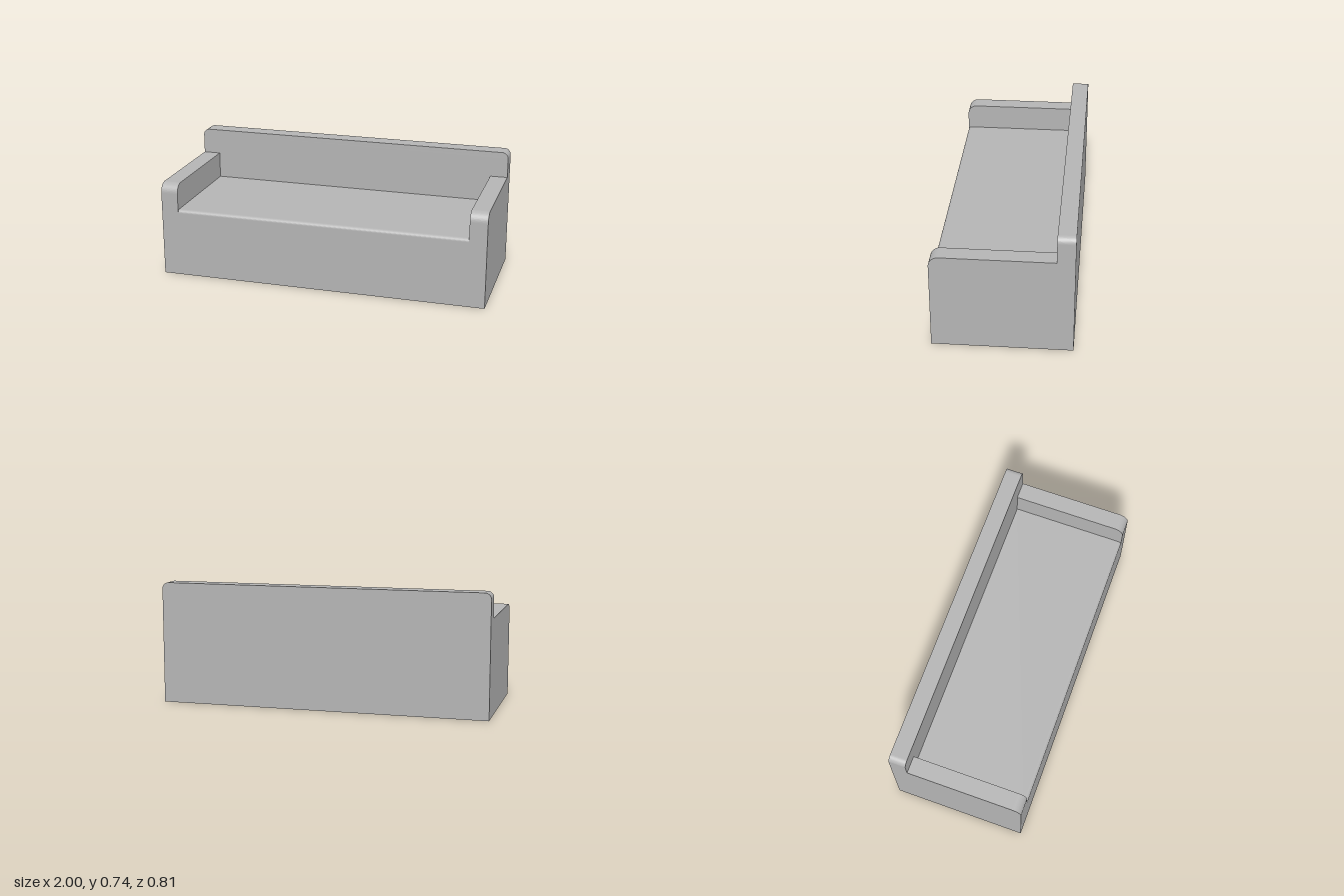
import * as THREE from 'three';

const HALF_DEPTH = 0.403;
const BACK_FRONT = -0.3; // z where the backrest meets the seat

// Side profile (drawn along -z) with a rounded front top edge, extruded along x.
function sideSlab(name, x0, x1, height, radius, material) {
  const f = -HALF_DEPTH, b = -BACK_FRONT;
  const s = new THREE.Shape();
  s.moveTo(f, 0);
  s.lineTo(b, 0);
  s.lineTo(b, height);
  s.lineTo(f + radius, height);
  s.absarc(f + radius, height - radius, radius, Math.PI / 2, Math.PI, false);
  s.closePath();
  const geo = new THREE.ExtrudeGeometry(s, { depth: x1 - x0, bevelEnabled: false, curveSegments: 6 });
  geo.rotateY(Math.PI / 2);
  geo.translate(x0, 0, 0);
  const mesh = new THREE.Mesh(geo, material);
  mesh.name = name;
  return mesh;
}

export function createModel() {
  const group = new THREE.Group();
  group.name = 'sofa';
  const grey = new THREE.MeshStandardMaterial({ color: 0xb4b4b4 });
  grey.name = 'grey';

  // Seat block and the two arms
  group.add(sideSlab('seat', -0.895, 0.895, 0.42, 0.02, grey));
  group.add(sideSlab('rightArm', -1, -0.895, 0.58, 0.058, grey));
  group.add(sideSlab('leftArm', 0.895, 1, 0.58, 0.058, grey));

  // Backrest with rounded upper corners
  const h = 0.737, r = 0.038;
  const s = new THREE.Shape();
  s.moveTo(-1, 0);
  s.lineTo(1, 0);
  s.lineTo(1, h - r);
  s.absarc(1 - r, h - r, r, 0, Math.PI / 2, false);
  s.lineTo(-1 + r, h);
  s.absarc(-1 + r, h - r, r, Math.PI / 2, Math.PI, false);
  s.closePath();
  const geo = new THREE.ExtrudeGeometry(s, {
    depth: BACK_FRONT + HALF_DEPTH, bevelEnabled: false, curveSegments: 6,
  });
  geo.translate(0, 0, -HALF_DEPTH);
  const back = new THREE.Mesh(geo, grey);
  back.name = 'backrest';
  group.add(back);

  return group;
}
